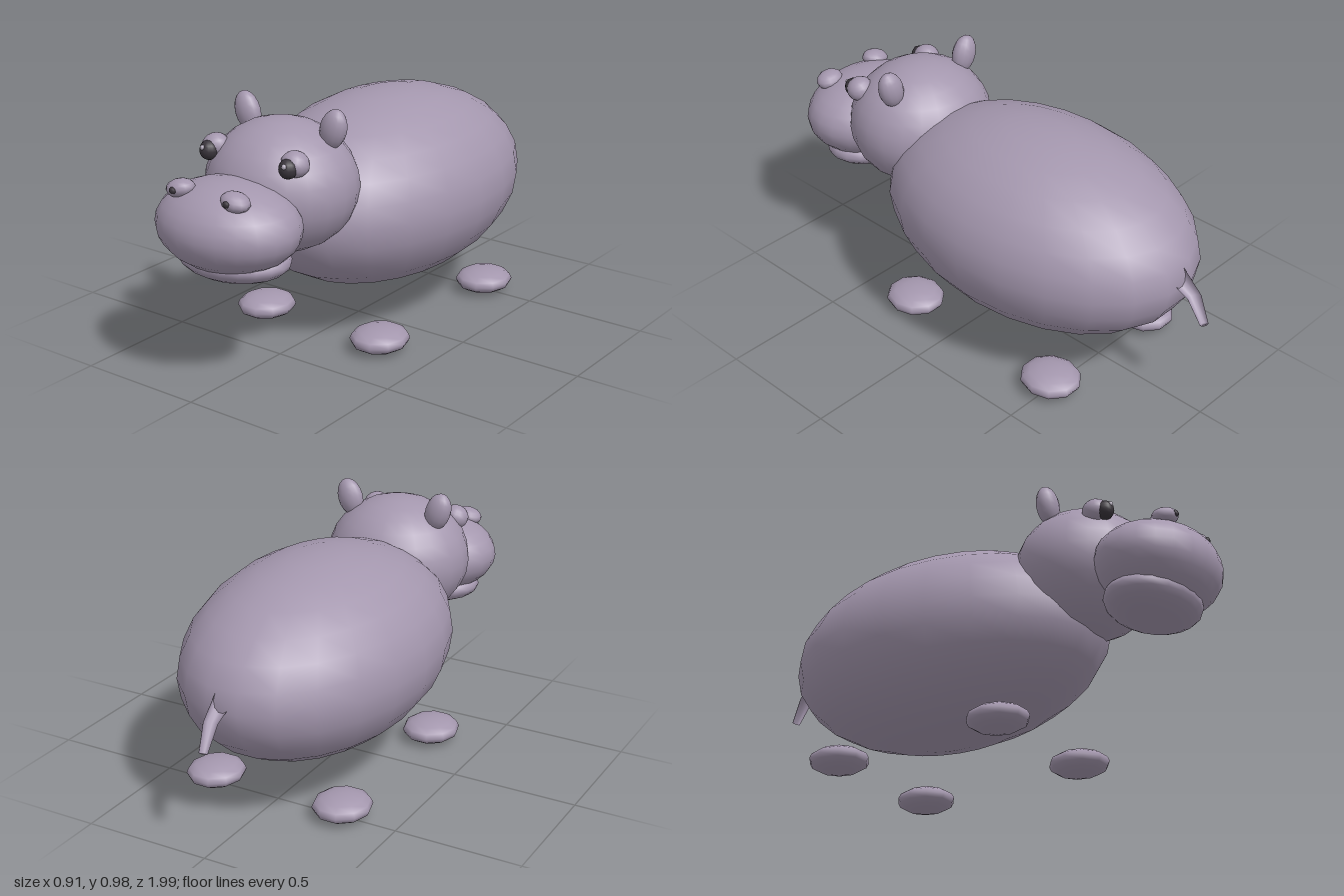
import * as THREE from 'three';

const material = (name, color) => {
  const m = new THREE.MeshStandardMaterial({ color });
  m.name = name;
  return m;
};

export function createModel() {
  const model = new THREE.Group();
  model.name = 'hippo';
  const skin = material('mauve skin', 0xa497ae);
  const dark = material('dark eye', 0x3a353c);
  const glint = material('pale glint', 0xb8b0c0);

  // Ellipsoid with given centre, radii and tilt
  function blob(name, mat, centre, radii, segs, rotation = [0, 0, 0]) {
    const mesh = new THREE.Mesh(new THREE.SphereGeometry(1, segs[0], segs[1]), mat);
    mesh.name = name;
    mesh.position.set(...centre);
    mesh.scale.set(...radii);
    mesh.rotation.set(...rotation);
    model.add(mesh);
    return mesh;
  }

  // Body, head and mouth
  blob('body', skin, [0, 0.517, -0.18], [0.456, 0.375, 0.695], [22, 14]);
  blob('head', skin, [0, 0.68, 0.469], [0.293, 0.25, 0.276], [22, 14]);
  blob('muzzle', skin, [0, 0.61, 0.77], [0.286, 0.167, 0.23], [22, 14]);
  blob('lowerJaw', skin, [0, 0.482, 0.745], [0.229, 0.078, 0.17], [20, 12]);

  // Paired parts
  for (const [side, s] of [['left', 1], ['right', -1]]) {
    blob(side + 'Ear', skin, [s * 0.199, 0.908, 0.42], [0.053, 0.078, 0.042], [14, 10], [0, 0, -s * 0.3]);
    blob(side + 'EyeSocket', skin, [s * 0.184, 0.828, 0.62], [0.053, 0.047, 0.052], [14, 10], [0, 0, -s * 0.35]);
    blob(side + 'Eye', dark, [s * 0.183, 0.82, 0.658], [0.035, 0.037, 0.036], [14, 10]);
    blob(side + 'EyeGlint', glint, [s * 0.188, 0.835, 0.688], [0.01, 0.01, 0.008], [8, 6]);
    blob(side + 'NostrilMound', skin, [s * 0.126, 0.748, 0.875], [0.057, 0.034, 0.05], [12, 8], [0, 0, -s * 0.2]);
    blob(side + 'Nostril', dark, [s * 0.123, 0.75, 0.92], [0.015, 0.013, 0.01], [8, 6]);
    blob(side + 'FrontFoot', skin, [s * 0.278, 0.051, 0.24], [0.113, 0.048, 0.122], [10, 8]);
    blob(side + 'BackFoot', skin, [s * 0.278, 0.051, -0.498], [0.113, 0.048, 0.122], [10, 8]);
  }

  // Tail: tapered rings along a bent path
  const path = [
    { y: 0.575, z: -0.83, r: 0.037, tilt: 0.75 },
    { y: 0.505, z: -0.932, r: 0.026, tilt: 0.4 },
    { y: 0.41, z: -0.983, r: 0.016, tilt: 0.4 },
  ];
  const sides = 10;
  const positions = [];
  const index = [];
  path.forEach(({ y, z, r, tilt }, i) => {
    for (let j = 0; j < sides; j++) {
      const a = (j / sides) * Math.PI * 2;
      const across = Math.sin(a) * r;
      positions.push(Math.cos(a) * r, y + across * Math.sin(tilt), z + across * -Math.cos(tilt));
      if (i === 0) continue;
      const k = (j + 1) % sides;
      const p = (i - 1) * sides;
      const q = i * sides;
      index.push(p + j, p + k, q + j, p + k, q + k, q + j);
    }
  });
  // Closed tip
  const last = (path.length - 1) * sides;
  for (let j = 1; j < sides - 1; j++) index.push(last, last + j, last + j + 1);
  const tailGeometry = new THREE.BufferGeometry();
  tailGeometry.setAttribute('position', new THREE.Float32BufferAttribute(positions, 3));
  tailGeometry.setIndex(index);
  tailGeometry.computeVertexNormals();
  const tail = new THREE.Mesh(tailGeometry, skin);
  tail.name = 'tail';
  model.add(tail);

  return model;
}
